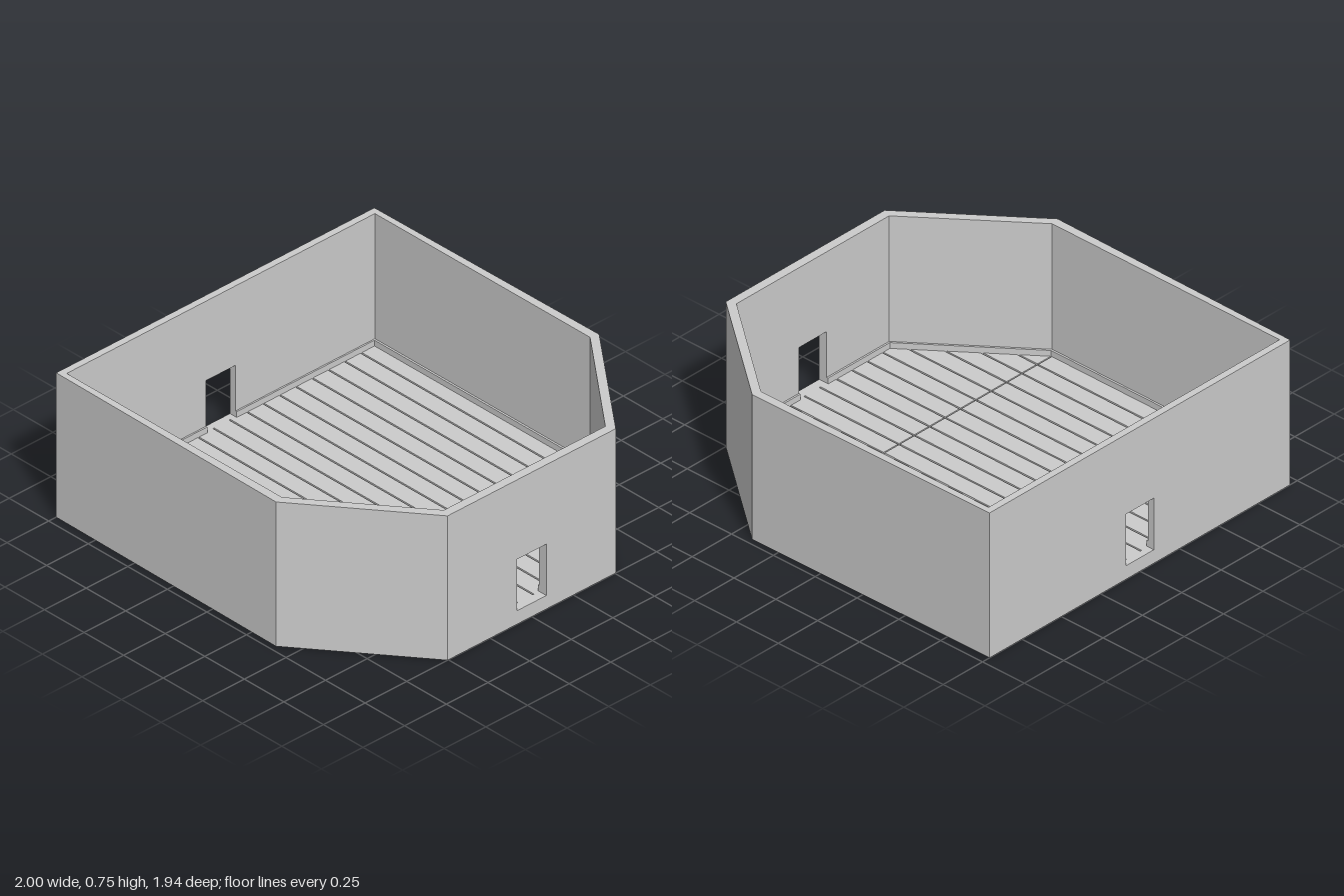
import * as THREE from 'three';

const material = new THREE.MeshStandardMaterial({ color: 0xcccccc, flatShading: true });

// Plan outlines as [x, z], running counter-clockwise seen from above
const outer = [[-1, 0.955], [0.405, 0.97], [1, 0.505], [1, -0.505], [0.405, -0.97], [-1, -0.955]];
const inner = [[-0.965, 0.925], [0.395, 0.925], [0.955, 0.485], [0.955, -0.485], [0.395, -0.925], [-0.965, -0.925]];
const skirt = [[-0.957, 0.915], [0.391, 0.915], [0.946, 0.48], [0.946, -0.48], [0.391, -0.915], [-0.957, -0.915]];

const BASE = 0.05, FLOOR = 0.07, TOP = 0.75, DOOR_TOP = 0.337, DOOR_HALF = 0.088;

function add(group, geometry, name) {
  const mesh = new THREE.Mesh(geometry, material);
  mesh.name = name;
  group.add(mesh);
}

// Solid prism over a plan polygon
function prism(points, y0, y1) {
  const shape = new THREE.Shape(points.map(([x, z]) => new THREE.Vector2(x, -z)));
  const geometry = new THREE.ExtrudeGeometry(shape, { depth: y1 - y0, bevelEnabled: false });
  return geometry.rotateX(-Math.PI / 2).translate(0, y0, 0);
}

function rectangle(Type, u0, u1, y0, y1) {
  return new Type([[u0, y0], [u1, y0], [u1, y1], [u0, y1]].map(([u, y]) => new THREE.Vector2(u, y)));
}

// Extrudes shapes drawn in (u along the wall, y) and fits them, mitred, between two outlines
function wallPanel(shapes, i, out, inn) {
  const j = (i + 1) % out.length;
  const geometry = new THREE.ExtrudeGeometry(shapes, { depth: 1, bevelEnabled: false });
  const p = geometry.attributes.position;
  const lerp = THREE.MathUtils.lerp;
  for (let k = 0; k < p.count; k++) {
    const u = p.getX(k), isOuter = p.getZ(k) > 0.5;
    const line = isOuter ? out : inn;
    const atEnd = u < 1e-4 || u > 1 - 1e-4;
    // Door jambs stay square to the wall; ends follow the mitre
    const zLine = atEnd ? line : out;
    p.setXYZ(k, lerp(line[i][0], line[j][0], u), p.getY(k), lerp(zLine[i][1], zLine[j][1], u));
  }
  geometry.computeVertexNormals();
  return geometry;
}

// Door limits along wall i
function doorRange(line, i) {
  const a = line[i][1], b = line[(i + 1) % line.length][1];
  return [-DOOR_HALF, DOOR_HALF].map((z) => (z - a) / (b - a)).sort((m, n) => m - n);
}

export function createModel() {
  const room = new THREE.Group();
  room.name = 'room';

  add(room, prism(outer, 0, BASE), 'base');

  // Walls and skirting boards; the two end walls have doorways
  const names = ['front', 'frontCorner', 'right', 'backCorner', 'back', 'left'];
  names.forEach((name, i) => {
    const hasDoor = name === 'right' || name === 'left';
    const wall = rectangle(THREE.Shape, 0, 1, BASE, TOP);
    let boards = [rectangle(THREE.Shape, 0, 1, BASE, 0.1)];
    if (hasDoor) {
      const [u0, u1] = doorRange(outer, i);
      wall.holes.push(rectangle(THREE.Path, u0, u1, FLOOR, DOOR_TOP));
      const [s0, s1] = doorRange(inner, i);
      boards = [rectangle(THREE.Shape, 0, s0, BASE, 0.1), rectangle(THREE.Shape, s1, 1, BASE, 0.1)];
    }
    add(room, wallPanel([wall], i, outer, inner), name + 'Wall');
    add(room, wallPanel(boards, i, inner, skirt), name + 'Skirting');
  });

  // Floorboards, jointed across at one line and trimmed to the angled corners
  const floor = new THREE.Group();
  floor.name = 'floorboards';
  room.add(floor);
  const joint = 0.39, gap = 0.004, bend = 0.485;
  const endX = (z) => 0.955 - (Math.max(0, Math.abs(z) - bend) / 0.44) * 0.56;
  const seams = [-0.925];
  for (let i = 0; i < 18; i++) seams.push(-0.835 + i * 0.0977);
  seams.push(0.925);
  for (let i = 0; i < seams.length - 1; i++) {
    const z0 = seams[i] + (i ? gap : 0);
    const z1 = seams[i + 1] - (i < seams.length - 2 ? gap : 0);
    add(floor, prism([[-0.965, z1], [joint - 0.003, z1], [joint - 0.003, z0], [-0.965, z0]], BASE, FLOOR), 'longBoard');
    const ends = [z1, bend, -bend, z0].filter((z) => z >= z0 && z <= z1).map((z) => [endX(z), z]);
    add(floor, prism([[joint + 0.003, z1], ...ends, [joint + 0.003, z0]], BASE, FLOOR), 'shortBoard');
  }
  return room;
}
